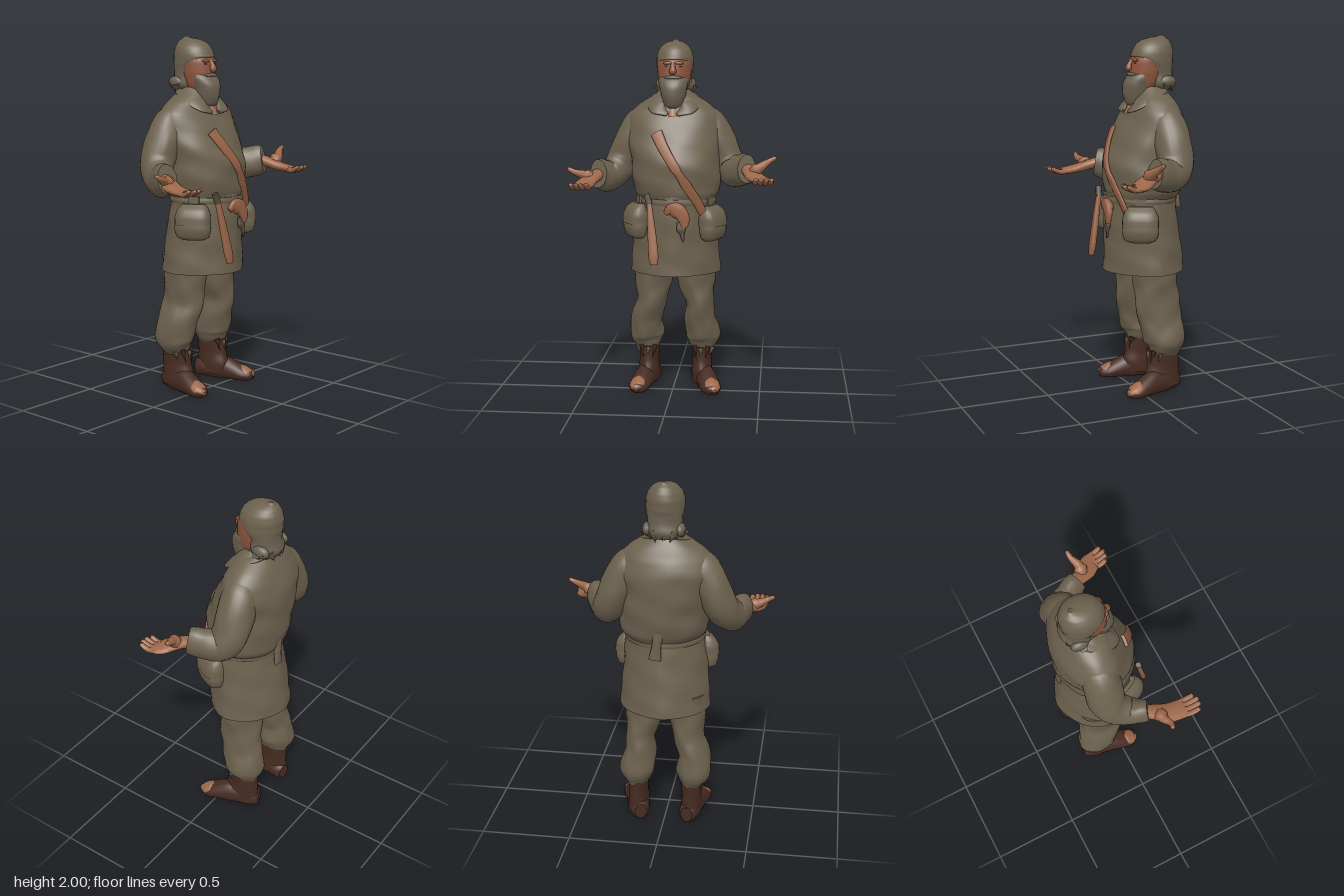
import * as THREE from 'three';

const mat = (name, color) => Object.assign(new THREE.MeshStandardMaterial({ color, side: THREE.DoubleSide }), { name });

// Skin through elliptical sections. Each row: [x, y, z, radiusU, radiusV]
function loft(rows, { ref = [0, 0, -1], flat = false, seg = 24, steps = 5, power = 1, fold = 0, floor = false } = {}) {
  const path = new THREE.CatmullRomCurve3(rows.map(r => new THREE.Vector3(r[0], r[1], r[2])));
  const size = new THREE.CatmullRomCurve3(rows.map(r => new THREE.Vector3(r[3], r[4], 0)));
  const n = (rows.length - 1) * steps, pos = [], idx = [], R = new THREE.Vector3(...ref);
  const squash = v => Math.sign(v) * Math.abs(v) ** power;
  const ends = [];
  for (let i = 0; i <= n; i++) {
    const k = i / n, c = path.getPoint(k), s = size.getPoint(k);
    const t = flat ? new THREE.Vector3(0, Math.sign(rows.at(-1)[1] - rows[0][1]), 0) : path.getTangent(k);
    const u = R.clone().cross(t).normalize(), v = t.clone().cross(u);
    if (i === 0 || i === n) ends.push(c);
    for (let j = 0; j < seg; j++) {
      const a = j / seg * Math.PI * 2;
      const f = 1 + fold * (Math.sin(3 * a + c.y * 38) + 0.7 * Math.sin(7 * a - c.y * 23));
      const p = c.clone().addScaledVector(u, squash(Math.cos(a)) * s.x * f).addScaledVector(v, squash(Math.sin(a)) * s.y * f);
      pos.push(p.x, floor ? Math.max(p.y, 0) : p.y, p.z);
    }
  }
  for (let i = 0; i < n; i++) for (let j = 0; j < seg; j++) {
    const a = i * seg + j, b = i * seg + (j + 1) % seg;
    idx.push(a, b, a + seg, b, b + seg, a + seg);
  }
  // end caps with their own vertices
  ends.forEach((c, e) => {
    const base = pos.length / 3, from = e * n * seg;
    for (let j = 0; j < seg; j++) pos.push(...pos.slice((from + j) * 3, (from + j) * 3 + 3));
    pos.push(c.x, floor ? Math.max(c.y, 0) : c.y, c.z);
    for (let j = 0; j < seg; j++) {
      const a = base + j, b = base + (j + 1) % seg;
      e ? idx.push(a, b, base + seg) : idx.push(b, a, base + seg);
    }
  });
  const g = new THREE.BufferGeometry();
  g.setAttribute('position', new THREE.Float32BufferAttribute(pos, 3));
  g.setIndex(idx);
  g.computeVertexNormals();
  return g;
}

export function createModel() {
  const root = new THREE.Group();
  const cloth = mat('drab cloth', 0x6c614e), hair = mat('grey hair', 0x696050), dark = mat('dark cloth', 0x544b3c);
  const face = mat('ruddy face', 0x8e563e), skin = mat('tanned skin', 0x9d6749), leather = mat('tan leather', 0x966145);
  const boot = mat('boot leather', 0x462b21), shade = mat('eye shade', 0x774732);
  const add = (name, geo, m, parent = root) => {
    const mesh = new THREE.Mesh(geo, m);
    mesh.name = name;
    parent.add(mesh);
    return mesh;
  };
  const blob = (name, m, p, s) => {
    const b = add(name, new THREE.SphereGeometry(1, 16, 12), m);
    b.position.set(...p);
    b.scale.set(...s);
    return b;
  };

  // Tunic: long skirt, belt and loose blouse
  add('tunicSkirt', loft([[.01, .69, -.085, .258, .235], [.01, .8, -.08, .25, .226], [.01, .95, -.068, .236, .216], [.015, 1.08, -.06, .222, .204], [.015, 1.17, -.06, .21, .19]],
    { flat: true, seg: 64, power: 1.16, fold: .008 }), cloth);
  add('belt', loft([[.015, 1.085, -.06, .222, .204], [.015, 1.1, -.06, .226, .207], [.015, 1.12, -.06, .222, .204]], { flat: true, seg: 40, power: 1.08 }), cloth);
  add('tunicBody', loft([[.02, 1.11, -.065, .215, .195], [.02, 1.15, -.072, .24, .212], [.015, 1.22, -.076, .25, .222], [.012, 1.3, -.08, .25, .226], [0, 1.4, -.1, .262, .208], [0, 1.5, -.125, .272, .183],
    [0, 1.58, -.132, .255, .148], [0, 1.64, -.13, .195, .122], [0, 1.69, -.125, .115, .095], [0, 1.72, -.125, .08, .07]], { flat: true, seg: 48, fold: .011 }), cloth);
  add('beltTail', loft([[.02, 1.2, -.275, .04, .016], [.03, 1.12, -.277, .025, .018], [.04, 1.03, -.285, .035, .01]], { seg: 10 }), cloth);

  for (const s of [1, -1]) {
    const L = s > 0, side = L ? 'left' : 'right';
    // Sleeve and collar
    const wy = L ? 1.285 : 1.25;
    add(side + 'Sleeve', loft([[s * .12, 1.56, -.145, .07, .08], [s * .19, 1.51, -.145, .098, .106], [s * .25, 1.42, -.147, .105, .1], [s * .298, 1.32, -.145, .1, .092],
      [s * .328, 1.265, -.115, .094, .086], [s * .368, wy - .02, -.05, .09, .074], [s * .403, wy - .005, .005, .088, .064], [s * .417, wy, .035, .08, .056]], { ref: [1, 0, 0], fold: .018 }), cloth);
    add(side + 'Collar', loft([[s * .03, 1.582, .02, .012, .008], [s * .085, 1.62, -.004, .046, .01], [s * .115, 1.662, -.08, .04, .012],
      [s * .08, 1.695, -.17, .028, .016], [0, 1.7, -.205, .022, .016]], { ref: [s * .45, .8, .35], seg: 14 }), cloth);

    // Open hand: palm, four fingers and a thumb
    const hand = new THREE.Group();
    hand.name = side + 'Hand';
    root.add(hand);
    const px = s * (L ? .505 : .478), py = L ? 1.232 : 1.2, pz = L ? .165 : .2, reach = L ? .1 : .115;
    add('palm', loft([[s * .415, wy, .01, .036, .032], [s * .435, wy - .015, .06, .044, .029], [s * .465, (wy + py) / 2 - .01, .115, .056, .027],
      [px, py, pz, .056, .021], [px, py, pz + .03, .052, .014]], { ref: [0, 1, 0], seg: 16 }), skin, hand);
    for (let i = 0; i < 4; i++) {
      const o = (i - 1.5) * .028, len = reach * [.82, .97, 1, .85][i];
      add('finger', loft([[px + o * .9, py, pz, .016, .015], [px + o + s * .004, py - .003, pz + len * .5, .016, .014],
        [px + o + s * .008, py + .018, pz + len * .95, .0135, .011], [px + o + s * .008, py + .022, pz + len, .005, .005]], { ref: [0, 1, 0], seg: 8, steps: 3 }), skin, hand);
    }
    const ty = L ? 1.35 : 1.285, tz = L ? .055 : .1;
    add('thumb', loft([[s * .445, wy - .015, .085, .028, .026], [s * .49, (wy + ty) / 2 - .018, .085, .028, .026], [s * .54, ty - .018, tz + .005, .017, .016],
      [s * .574, ty, tz, .011, .011], [s * .58, ty + .003, tz, .003, .003]], { ref: [0, 1, 0], seg: 10, steps: 3 }), skin, hand);

    // Baggy trouser leg, gathered above the boot
    const rows = L
      ? [[.12, .78, -.1, .12, .14], [.128, .62, -.105, .107, .127], [.148, .5, -.112, .08, .132], [.148, .4, -.13, .09, .126], [.163, .3, -.15, .1, .12], [.163, .245, -.15, .08, .095], [.163, .21, -.15, .055, .08]]
      : [[-.115, .78, -.1, .12, .14], [-.122, .62, -.105, .105, .127], [-.132, .5, -.112, .085, .132], [-.162, .4, -.13, .09, .126], [-.163, .3, -.15, .099, .12], [-.155, .245, -.15, .078, .095], [-.15, .21, -.15, .052, .08]];
    add(side + 'Trouser', loft(rows, { fold: .024, seg: 32 }), cloth);

    // Boot: shaft, foot, worn toe and ragged top
    const hx = L ? .16 : -.15, toe = L ? .08 : -.05;
    const x = z => hx + toe * (z + .15) / .25;
    add(side + 'BootShaft', loft([[hx, .03, -.138, .06, .103], [hx, .09, -.132, .06, .106], [hx, .15, -.139, .056, .097], [hx, .2, -.142, .058, .095], [hx, .235, -.145, .06, .095]], { flat: true, fold: .008 }), boot);
    add(side + 'Foot', loft([[-.238, .05, .035, .045], [-.22, .05, .052, .055], [-.16, .055, .06, .065], [-.08, .055, .058, .075], [-.01, .045, .06, .058], [.05, .03, .058, .042], [.092, .024, .04, .03], [.107, .02, .018, .016]]
      .map(([z, y, w, h]) => [x(z), y, z, w, h]), { ref: [0, 1, 0], floor: true, seg: 20 }), boot);
    add(side + 'WornToe', loft([[.018, .052, .028, .036], [.045, .043, .049, .037], [.075, .036, .046, .029], [.1, .03, .027, .018], [.111, .028, .01, .008]]
      .map(([z, y, w, h]) => [x(z) + s * .003, y, z, w, h]), { ref: [0, 1, 0], seg: 16 }), skin);
    for (let i = 0; i < 4; i++) {
      const a = .5 + i * .55, tag = add('bootRag', new THREE.ConeGeometry(.016, .06 + .02 * (i % 2), 5), i % 2 ? boot : cloth);
      tag.position.set(hx + s * Math.cos(a) * .062, .205, -.142 + Math.sin(a) * .096);
      tag.rotation.set(Math.PI - Math.sin(a) * .3, 0, s * Math.cos(a) * .3);
    }

    // Soft hip pouch with an overhanging flap
    const pouch = new THREE.Group();
    pouch.name = side + 'Pouch';
    pouch.position.set(L ? .224 : -.203, L ? .98 : .99, .03);
    pouch.rotation.y = -s * .45;
    root.add(pouch);
    add('pouchBag', loft([[0, -.098, 0, .025, .06], [s * .004, -.082, 0, .046, .09], [s * .006, -.03, 0, .056, .102], [0, .05, 0, .045, .088], [-s * .01, .1, 0, .02, .06]], { flat: true, power: .75 }), cloth, pouch);
    add('pouchFlap', loft([[s * .006, -.012, 0, .062, .1], [s * .004, .03, 0, .06, .1], [0, .07, 0, .046, .088], [-s * .012, .1, 0, .022, .066]], { flat: true, power: .72 }), cloth, pouch);
    add('pouchLoop', new THREE.BoxGeometry(.03, .07, .06), cloth, pouch).position.set(-s * .025, .105, 0);

    // Eye hollow, brow and side hair
    blob('eye', shade, [s * .034, 1.85, -.02], [.015, .005, .006]);
    blob('brow', face, [s * .028, 1.866, -.024], [.03, .01, .015]);
    blob('sideHair', hair, [s * .088, 1.745, -.195], [.028, .036, .05]);
  }

  // Head, beard, hair and cap
  add('neck', loft([[0, 1.57, -.05, .045, .08], [0, 1.66, -.085, .06, .07], [0, 1.75, -.11, .065, .07]], { flat: true }), skin);
  add('face', loft([[0, 1.69, -.08, .06, .06], [0, 1.74, -.095, .082, .085], [0, 1.8, -.105, .094, .1], [0, 1.86, -.11, .097, .1], [0, 1.91, -.12, .085, .085]], { flat: true }), face);
  add('nose', loft([[0, 1.868, -.018, .012, .01], [0, 1.838, -.002, .015, .016], [0, 1.82, .004, .021, .018], [0, 1.806, -.002, .014, .012]], { seg: 12 }), face);
  add('beard', loft([[0, 1.608, -.04, .03, .035], [0, 1.63, -.042, .052, .062], [0, 1.68, -.044, .068, .078], [0, 1.73, -.047, .077, .08], [0, 1.765, -.057, .084, .072], [0, 1.788, -.062, .08, .055]],
    { flat: true, fold: .01 }), hair);
  blob('moustache', hair, [0, 1.786, -.018], [.05, .013, .026]);
  add('backHair', loft([[0, 1.7, -.18, .08, .068], [0, 1.735, -.18, .104, .082], [0, 1.78, -.168, .095, .086], [0, 1.85, -.155, .1, .1]], { flat: true, fold: .018 }), hair);
  for (let i = 0; i < 7; i++) {
    const a = Math.PI * (i / 6), lock = add('hairLock', new THREE.ConeGeometry(.03, .06, 6), hair);
    lock.position.set(Math.cos(a) * .09, 1.712 + .01 * (i % 2), -.185 - Math.sin(a) * .06);
    lock.rotation.set(Math.PI + Math.sin(a) * .45, 0, Math.cos(a) * .45);
  }
  const cap = loft([[0, 1.82, -.148, .1, .104], [0, 1.86, -.138, .105, .121], [0, 1.9, -.14, .104, .12], [0, 1.94, -.145, .092, .107], [0, 1.97, -.155, .067, .083], [0, 1.985, -.17, .04, .05], [0, 1.993, -.192, .016, .02], [0, 2, -.195, .008, .01]], { flat: true, seg: 32, fold: .006 });
  const cp = cap.attributes.position;
  // raise the rim over the brow
  for (let i = 0; i < cp.count; i++) {
    const y = cp.getY(i), lift = THREE.MathUtils.clamp((cp.getZ(i) + .13) / .1, 0, 1) * .054;
    if (y < 1.9) cp.setY(i, y + lift * (1.9 - y) / .08);
  }
  cap.computeVertexNormals();
  add('cap', cap, cloth);

  // Leather shoulder strap, sheath and belt hook
  const front = { ref: [0, 0, 1], seg: 12, power: .6 };
  add('shoulderStrap', loft([[-.085, 1.485, .064, .034, .01], [-.04, 1.4, .112, .03, .01], [.03, 1.29, .151, .027, .01], [.1, 1.18, .134, .027, .01], [.145, 1.11, .114, .026, .01], [.18, 1.04, .094, .024, .01]], front), leather);
  add('sheath', loft([[-.118, 1.1, .135, .014, .014], [-.11, 1.02, .152, .019, .015], [-.1, .93, .168, .024, .016], [-.09, .82, .188, .028, .016], [-.086, .765, .198, .02, .012]], front), leather);
  add('sheathHandle', loft([[-.118, 1.095, .135, .018, .016], [-.135, 1.15, .13, .016, .015]], front), dark);
  blob('beltKnot', leather, [.04, 1.06, .145], [.048, .042, .028]);
  add('beltHook', loft([[-.028, 1.045, .145, .014, .012], [.005, 1.072, .15, .03, .018], [.045, 1.065, .153, .04, .02], [.075, 1.02, .158, .034, .016], [.082, .97, .163, .016, .01]], front), leather);
  add('hangingThong', loft([[.05, 1.0, .152, .014, .008], [.066, .94, .16, .014, .008], [.074, .89, .166, .005, .005]], front), dark);
  return root;
}
